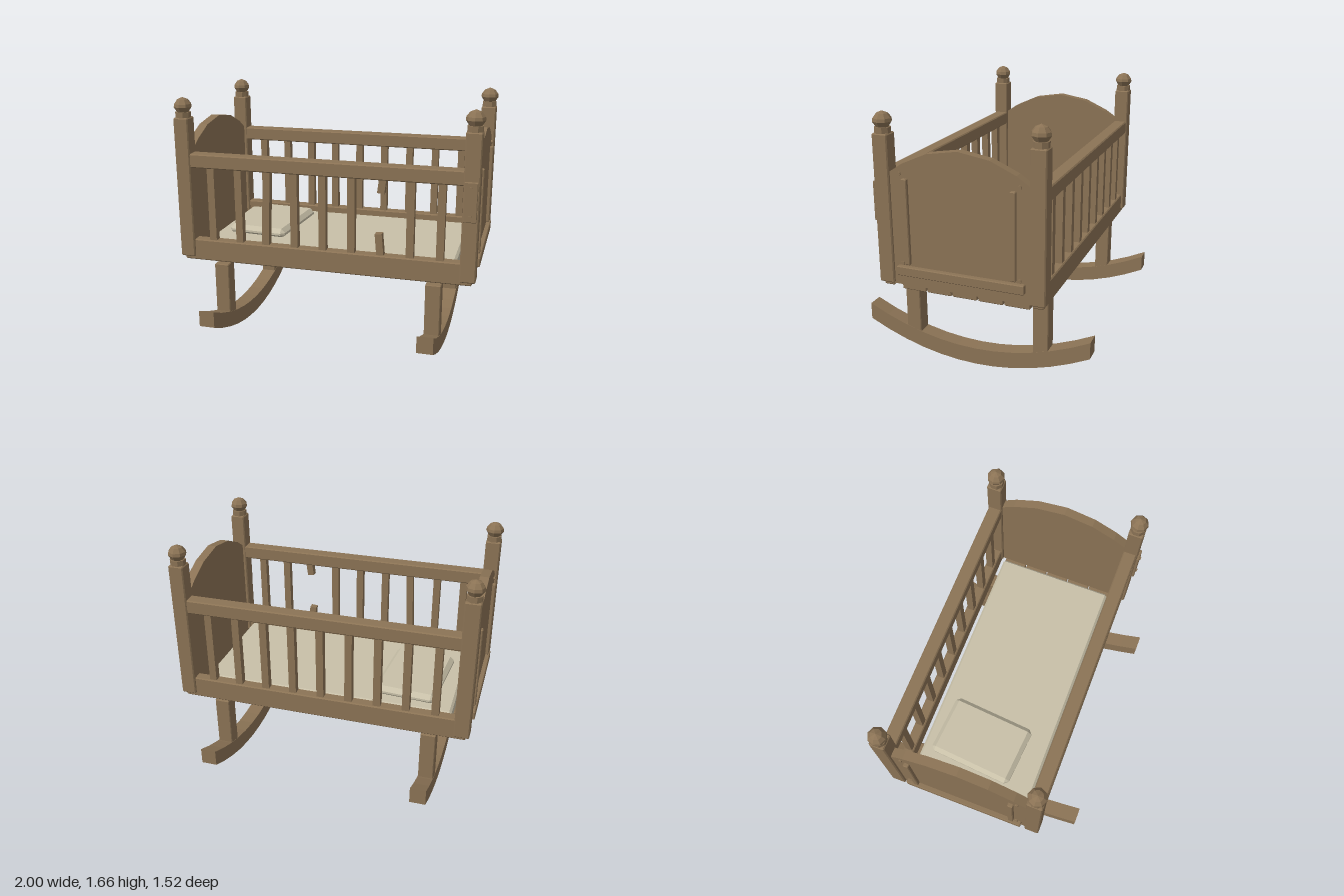
import * as THREE from 'three';
import { ConvexGeometry } from 'three/addons/geometries/ConvexGeometry.js';

const wood = new THREE.MeshStandardMaterial({ color: 0x8b7355, flatShading: true });
wood.name = 'wood';
const linen = new THREE.MeshStandardMaterial({ color: 0xc8c0a8, flatShading: true });
linen.name = 'linen';

// Box with chamfered edges
function chamferBox(w, h, d, b) {
  const pts = [];
  for (const x of [-1, 1]) for (const y of [-1, 1]) for (const z of [-1, 1]) {
    const X = x * w / 2, Y = y * h / 2, Z = z * d / 2;
    pts.push(
      new THREE.Vector3(X, Y - y * b, Z - z * b),
      new THREE.Vector3(X - x * b, Y, Z - z * b),
      new THREE.Vector3(X - x * b, Y - y * b, Z));
  }
  return new ConvexGeometry(pts);
}

export function createModel() {
  const model = new THREE.Group();
  model.name = 'cradle';

  const add = (name, geometry, x = 0, y = 0, z = 0, material = wood) => {
    const mesh = new THREE.Mesh(geometry, material);
    mesh.name = name;
    mesh.position.set(x, y, z);
    model.add(mesh);
    return mesh;
  };
  const box = (name, w, h, d, x, y, z, bevel = 0.005, material = wood) =>
    add(name, chamferBox(w, h, d, bevel), x, y, z, material);

  // Corner posts with collars and faceted finials
  const finial = new THREE.LatheGeometry(
    [[0, 1.56], [0.036, 1.56], [0.06, 1.597], [0.057, 1.617], [0.036, 1.645], [0, 1.66]]
      .map(([r, y]) => new THREE.Vector2(r, y)), 8);
  const collar = new THREE.CylinderGeometry(0.05, 0.05, 0.036, 8);
  for (const sx of [-1, 1]) for (const sz of [-1, 1]) {
    box('post', 0.1, 0.94, 0.1, sx * 0.938, 1.06, sz * 0.493, 0.007);
    add('postCollar', collar, sx * 0.938, 1.547, sz * 0.493).rotation.y = Math.PI / 8;
    add('finial', finial, sx * 0.938, 0, sz * 0.493);
  }

  // Side rails and spindles; one front spindle leans and one is snapped
  for (const sz of [-1, 1]) {
    const z = sz * 0.49;
    box('topRail', 1.8, 0.092, 0.09, 0, 1.25, z, 0.007);
    box('bottomRail', 1.93, 0.145, 0.072, 0, 0.6375, z, 0.007);
    for (let i = -4; i <= 4; i++) {
      const x = i * 0.19;
      if (sz > 0 && i === 2) {
        add('snappedSpindleTop', new THREE.BoxGeometry(0.046, 0.1, 0.046), x + 0.006, 1.165, z).rotation.z = -0.12;
        add('snappedSpindleBottom', new THREE.BoxGeometry(0.046, 0.16, 0.046), x - 0.005, 0.77, z).rotation.z = 0.09;
      } else {
        const spindle = add('spindle', new THREE.BoxGeometry(0.048, 0.52, 0.048), x, 0.955, z);
        if (sz > 0 && i === -2) spindle.rotation.z = -0.04;
      }
    }
  }

  // Arched end panels with battens and pegs
  const arch = new THREE.Shape();
  [[-0.45, 0.585], [0.45, 0.585], [0.45, 1.3], [0.36, 1.36], [0.2, 1.432], [0, 1.465],
    [-0.2, 1.432], [-0.36, 1.36], [-0.45, 1.3]]
    .forEach(([z, y], i) => (i ? arch.lineTo(z, y) : arch.moveTo(z, y)));
  const panel = new THREE.ExtrudeGeometry(arch, { depth: 0.06, bevelEnabled: false });
  panel.translate(0, 0, -0.03).rotateY(Math.PI / 2);
  const peg = new THREE.CylinderGeometry(0.012, 0.012, 0.02, 8);
  for (const sx of [-1, 1]) {
    add('endPanel', panel, sx * 0.94);
    box('endCrossBatten', 0.04, 0.06, 0.83, sx * 0.98, 0.685, 0);
    for (const sz of [-1, 1]) {
      box('endUprightBatten', 0.03, 0.545, 0.036, sx * 0.978, 1.0, sz * 0.343);
      for (const y of [0.73, 1.297])
        add('peg', peg, sx * 0.97, y, sz * 0.38).rotation.z = Math.PI / 2;
    }
  }

  // Floor boards
  for (let i = -2; i <= 2; i++)
    box('floorBoard', 1.84, 0.053, 0.163, 0, 0.555, i * 0.1715);

  // Rockers and legs
  const rise = z => 0.19 * (z / 0.76) ** 2;
  const steps = Array.from({ length: 13 }, (_, i) => -0.76 + i * 0.76 / 6);
  const curve = new THREE.Shape([
    ...steps.map(z => new THREE.Vector2(z, rise(z))),
    ...steps.slice().reverse().map(z => new THREE.Vector2(z, rise(z) + 0.11))]);
  const rocker = new THREE.ExtrudeGeometry(curve, { depth: 0.104, bevelEnabled: false });
  rocker.translate(0, 0, -0.052).rotateY(Math.PI / 2);
  for (const sx of [-1, 1]) {
    add('rocker', rocker, sx * 0.722);
    for (const sz of [-1, 1])
      box('leg', 0.1, 0.4, 0.1, sx * 0.722, 0.332, sz * 0.44);
  }

  // Repair plate on the front left post
  box('repairPlate', 0.082, 0.25, 0.018, 0.936, 1.11, 0.551, 0.004);
  for (const y of [1.02, 1.195])
    add('plateNail', peg, 0.936, y, 0.558).rotation.x = Math.PI / 2;

  // Bedding
  box('mattress', 1.7, 0.1, 0.83, 0, 0.63, 0, 0.015, linen);
  const pillow = box('pillow', 0.42, 0.07, 0.59, -0.538, 0.7, -0.042, 0.028, linen);
  pillow.rotation.y = -0.077;

  return model;
}
